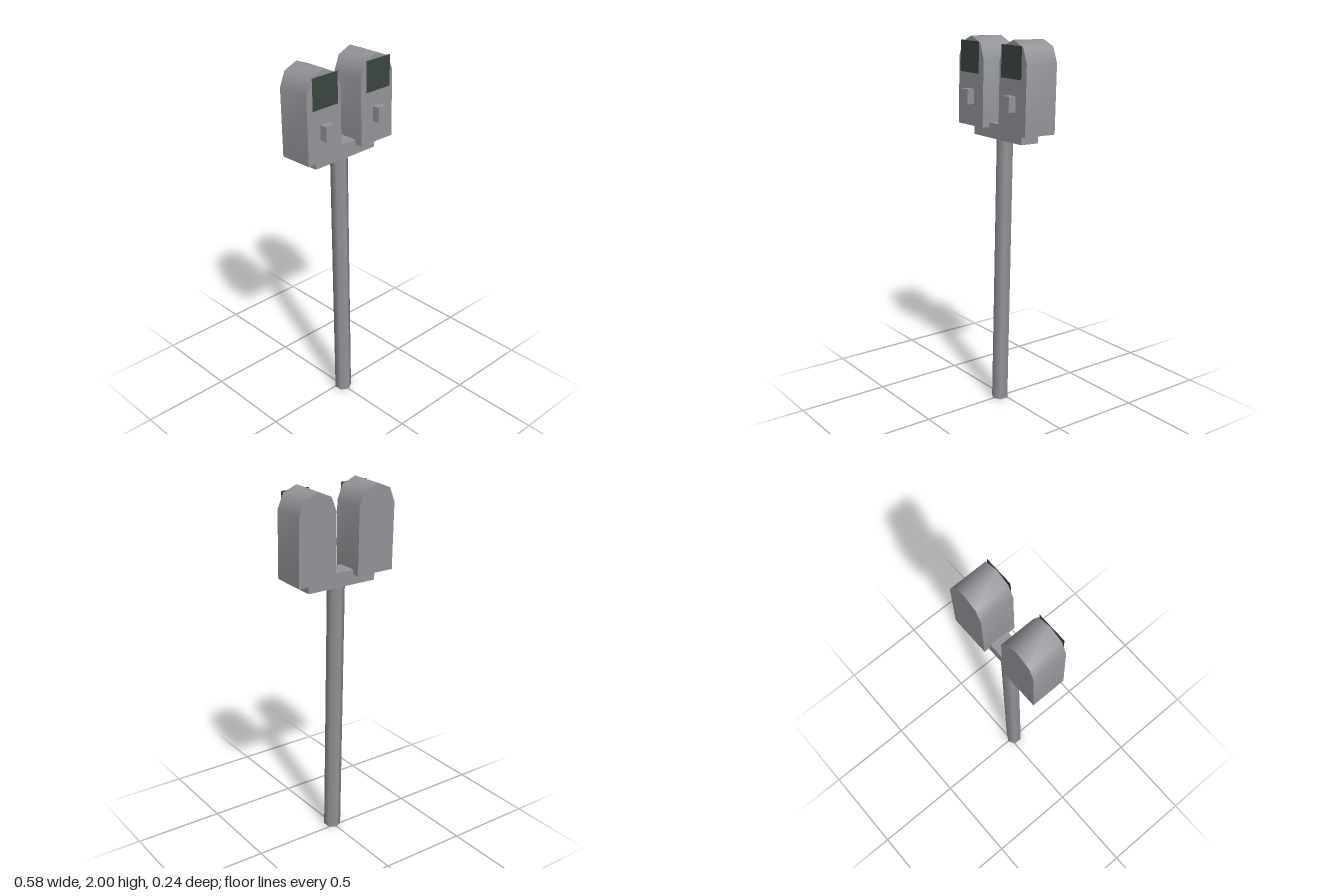
import * as THREE from 'three';
import { toCreasedNormals } from 'three/addons/utils/BufferGeometryUtils.js';

export function createModel() {
  const metal = new THREE.MeshStandardMaterial({ color: 0x949599 });
  metal.name = 'grey metal';
  const glass = new THREE.MeshStandardMaterial({ color: 0x3c4541, side: THREE.DoubleSide });
  glass.name = 'dark glass';

  const model = new THREE.Group();
  model.name = 'twinMeter';
  // The whole post leans slightly backwards
  model.position.z = 0.025;
  model.rotation.x = -0.0243;

  function add(parent, name, geometry, material, x, y, z) {
    const mesh = new THREE.Mesh(geometry, material);
    mesh.name = name;
    mesh.position.set(x, y, z);
    parent.add(mesh);
    return mesh;
  }

  // Six-sided post and the crossbar on top of it
  add(model, 'post', new THREE.CylinderGeometry(0.047, 0.047, 1.48, 6), metal, 0, 0.741, 0);
  add(model, 'crossbar', new THREE.BoxGeometry(0.415, 0.08, 0.108), metal, 0, 1.516, -0.002);

  // Head outline: straight sides under a four-segment arch
  const radius = 0.111, shoulder = 0.36, depth = 0.191;
  const outline = new THREE.Shape();
  outline.moveTo(-radius, 0);
  outline.lineTo(radius, 0);
  for (let i = 0; i <= 4; i++) {
    const a = (i * Math.PI) / 4;
    outline.lineTo(radius * Math.cos(a), shoulder + radius * Math.sin(a));
  }
  outline.closePath();
  const headGeometry = toCreasedNormals(
    new THREE.ExtrudeGeometry(outline, { depth, bevelEnabled: false }), 0.9);

  // Two matching meter heads
  for (const side of [-1, 1]) {
    const head = new THREE.Group();
    head.name = side > 0 ? 'leftMeter' : 'rightMeter';
    head.position.set(side * 0.181, 1.53, 0);
    add(head, 'housing', headGeometry, metal, 0, 0, -depth / 2);
    add(head, 'window', new THREE.PlaneGeometry(0.166, 0.165), glass, 0, 0.363, 0.106);
    add(head, 'coinSlot', new THREE.BoxGeometry(0.055, 0.08, 0.055), metal, 0, 0.156, 0.1095);
    model.add(head);
  }

  const root = new THREE.Group();
  root.add(model);
  return root;
}
